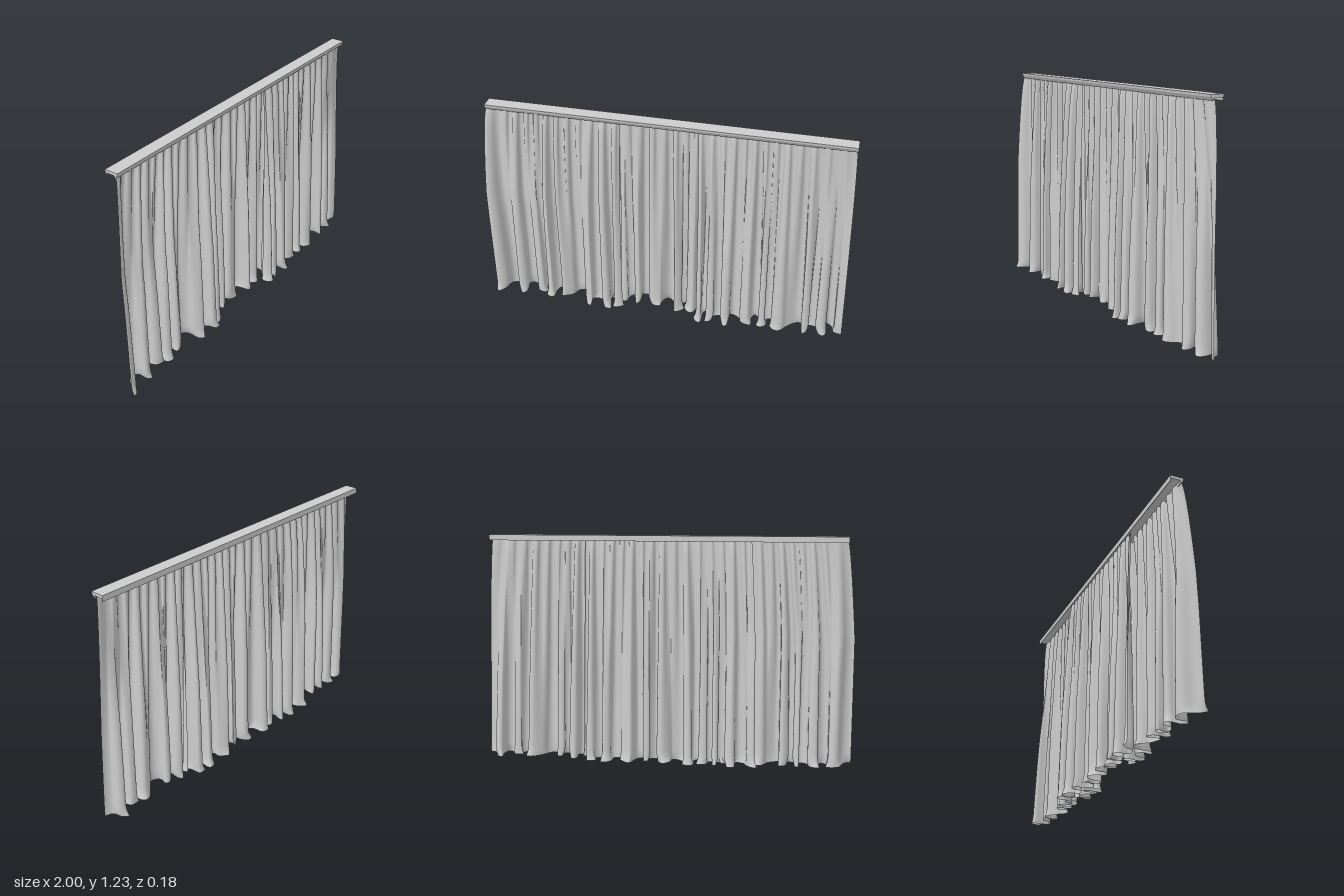
import * as THREE from 'three';

const HEIGHT = 1.207;
const material = new THREE.MeshStandardMaterial({ color: 0xcccccc, side: THREE.DoubleSide });
const bump = (x, centre, width) => Math.exp(-(((x - centre) / width) ** 2));

// Two side panels hang on the front track, the centre panel behind them;
// push is how far the hem is pushed forward or back where panels overlap
const PANELS = [
  { name: 'rightPanel', from: -1, to: -0.25, z: 0.014, seed: 0.4, columns: 440,
    push: (u) => -0.008 + 0.036 * bump(u, -0.35, 0.13) + 0.035 * bump(u, -1, 0.06) },
  { name: 'leftPanel', from: 0.18, to: 1, z: 0.014, seed: 2.1, columns: 460,
    push: (u) => -0.008 + 0.036 * bump(u, 0.28, 0.13) + 0.02 * bump(u, 0.7, 0.06)
      - 0.022 * bump(u, 0.93, 0.06) },
  { name: 'centrePanel', from: -0.48, to: 0.45, z: -0.018, seed: 4.4, columns: 500,
    push: (u) => -0.004 - 0.026 * bump(u, -0.37, 0.13) - 0.026 * bump(u, 0.32, 0.13)
      - 0.012 * bump(u, -0.13, 0.05) },
];

// Point on a panel: u runs along x, t from 0 (heading) to 1 (hem)
function clothPoint(panel, u, t) {
  const { seed } = panel;
  const spread = t ** 0.46;
  const y = HEIGHT * (1 - t);

  // Fine pleats at the heading merge into broad folds; the outer ends stay flat
  const w = u * (1 - 0.055 * Math.abs(u) ** 12);
  const fine = 104 * w + 1.3 * Math.sin(9 * w + seed) + seed;
  const broad = 66 * w + 1.5 * Math.sin(8.3 * w + seed * 2) + 1.1 * Math.sin(19 * w + seed) + seed;
  const fineDepth = 0.005 + 0.03 * spread * (1 - t) ** 1.8;
  const broadDepth = 0.037 * spread * Math.min(1, 0.3 + 1.2 * t);
  const uneven = 0.2 * Math.sin(0.43 * broad + seed) + 0.12 * Math.sin(1.7 * broad + 2);
  let z = panel.z + panel.push(u) * spread
    + fineDepth * 0.8 * Math.sin(fine) + broadDepth * (Math.sin(broad) + uneven);

  // Rounded folds bulge sideways over their neighbours
  const inner = 1 - bump(Math.abs(u), 1, 0.05);
  const edge = u < 0 ? 0.05 * Math.min(1, 2.3 * t) ** 0.7 : 0.05 * t ** 0.75;
  let x = u * (0.95 + edge);
  x -= inner * 0.003 * (1 - t) * Math.sin(2 * fine);
  x -= inner * 0.01 * t * Math.sin(2 * broad + 0.5 * Math.sin(0.6 * broad));
  x += inner * 0.008 * t * Math.sin(0.5 * broad + seed);

  // The hem kicks outwards where it touches the floor
  const kick = Math.max(0, 1 - y / 0.06) ** 2;
  z += kick * 0.14 * (z - panel.z * 0.5) + kick * 0.006 * Math.sin(1.6 * broad + seed);
  x += inner * kick * 0.012 * Math.sin(0.77 * broad + 1);
  const lift = kick * 0.003 * (1 + Math.sin(0.63 * broad + 2 * Math.sin(5 * u)));
  return [x, y + lift, THREE.MathUtils.clamp(z, -0.09, 0.09)];
}

// Pleated cloth panel, a fine sheet shaped by the fold rule
function makePanel(panel) {
  const { columns, from, to } = panel;
  const rows = 44;
  const geometry = new THREE.PlaneGeometry(1, 1, columns, rows);
  const position = geometry.attributes.position;
  for (let j = 0; j <= rows; j++) {
    // Rows crowd together at the heading and at the hem
    const t = 0.5 - 0.5 * Math.cos(Math.PI * j / rows);
    for (let i = 0; i <= columns; i++) {
      const u = from + (to - from) * i / columns;
      position.setXYZ(j * (columns + 1) + i, ...clothPoint(panel, u, t));
    }
  }
  geometry.computeVertexNormals();
  const cloth = new THREE.Mesh(geometry, material);
  cloth.name = panel.name;
  return cloth;
}

// Rail: channel section with a slanted front lip, swept along x
function makeRail() {
  const section = [
    [0.035, 1.225], [-0.037, 1.225], [-0.037, 1.195], [-0.034, 1.195],
    [-0.034, 1.209], [0.016, 1.209], [0.018, 1.195], [0.022, 1.195], [0.033, 1.213],
  ];
  const shape = new THREE.Shape(section.map(([z, y]) => new THREE.Vector2(-z, y)));
  const length = 1.91;
  const geometry = new THREE.ExtrudeGeometry(shape, { depth: length, bevelEnabled: false });
  geometry.translate(0, 0, -length / 2);
  geometry.rotateY(Math.PI / 2);
  const rail = new THREE.Mesh(geometry, material);
  rail.name = 'curtainRail';
  return rail;
}

export function createModel() {
  const model = new THREE.Group();
  model.name = 'curtain';
  model.add(makeRail(), ...PANELS.map(makePanel));
  return model;
}
